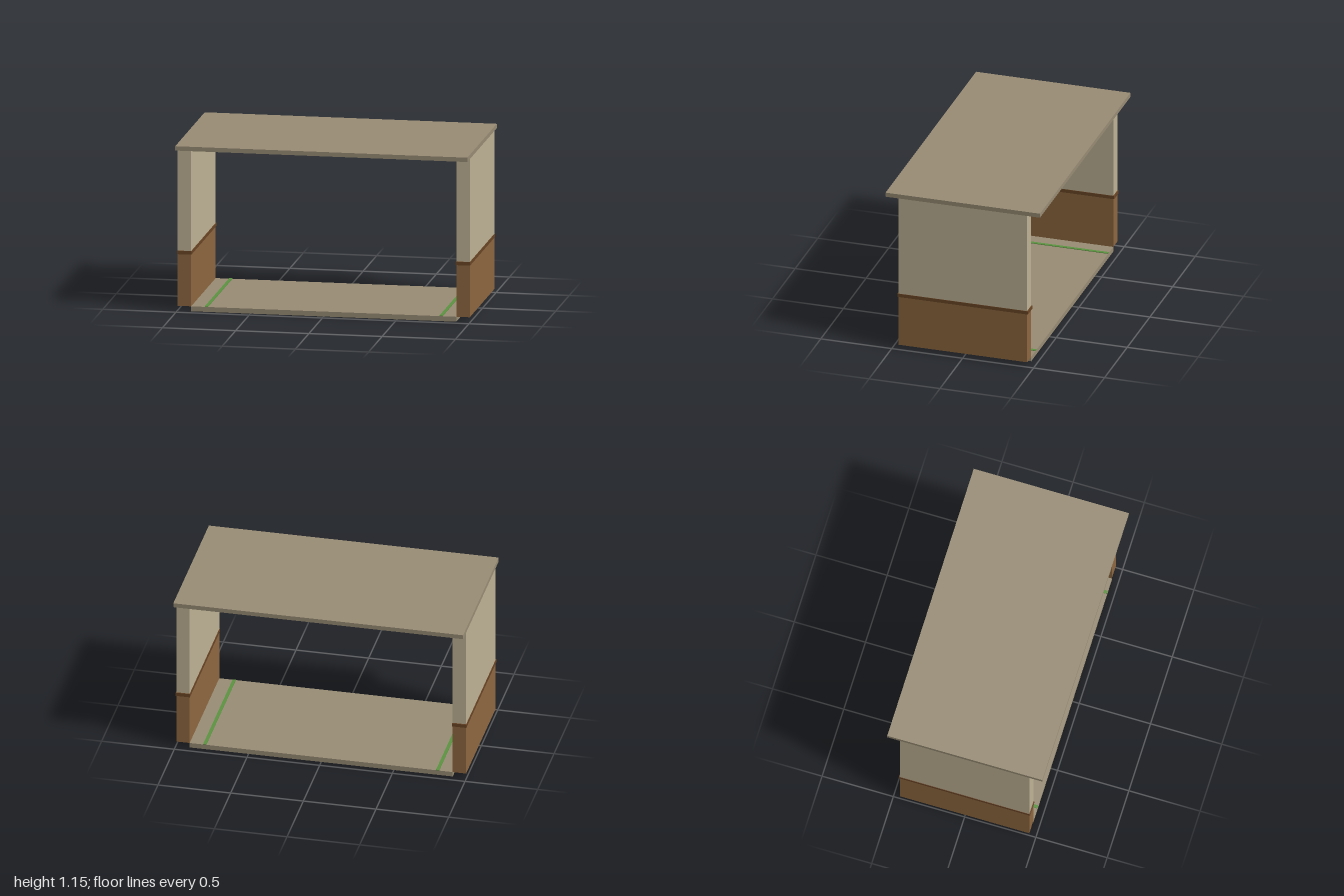
import * as THREE from 'three';

const mat = (name, color, opts = {}) => {
  const m = new THREE.MeshStandardMaterial({ color, ...opts });
  m.name = name;
  return m;
};

export function createModel() {
  const model = new THREE.Group();
  model.name = 'openShelter';
  const stone = mat('stone', 0x998d75);
  const plaster = mat('plaster', 0xc0b496);
  const wood = mat('wood', 0x8f6840);
  const darkWood = mat('darkWood', 0x6b4626);
  const metal = mat('darkMetal', 0x2b3038);
  const lamp = mat('lampPanel', 0xbdb595);
  const green = mat('greenLine', 0x5c9440);

  // box from its minimum and maximum on each axis
  const box = (name, material, [x0, x1], [y0, y1], [z0, z1], parent = model) => {
    const mesh = new THREE.Mesh(new THREE.BoxGeometry(x1 - x0, y1 - y0, z1 - z0), material);
    mesh.position.set((x0 + x1) / 2, (y0 + y1) / 2, (z0 + z1) / 2);
    mesh.name = name;
    parent.add(mesh);
    return mesh;
  };

  // slabs
  box('floor', stone, [-0.905, 0.905], [0, 0.034], [-0.453, 0.453]);
  box('roof', stone, [-0.997, 0.997], [1.12, 1.15], [-0.544, 0.544]);

  for (const [side, s] of [['left', 1], ['right', -1]]) {
    const span = (a, b) => (s > 0 ? [a, b] : [-b, -a]);

    // end wall: wainscot, rail and plaster
    const wall = new THREE.Group();
    wall.name = side + 'Wall';
    model.add(wall);
    box('wainscot', wood, span(0.905, 0.997), [0.034, 0.39], [-0.453, 0.453], wall);
    box('rail', darkWood, span(0.902, 1), [0.39, 0.414], [-0.46, 0.46], wall);
    box('upperWall', plaster, span(0.905, 0.997), [0.414, 1.12], [-0.453, 0.453], wall);

    // painted floor line
    box(side + 'FloorLine', green, span(0.79, 0.812), [0.034, 0.038], [-0.453, 0.453]);

    // square ceiling light
    const light = new THREE.Group();
    light.name = side + 'CeilingLight';
    model.add(light);
    box('lightFrame', metal, span(0.302, 0.602), [1.106, 1.12], [-0.15, 0.15], light);
    box('lightPanel', lamp, span(0.322, 0.582), [1.1, 1.106], [-0.13, 0.13], light);
  }
  return model;
}
